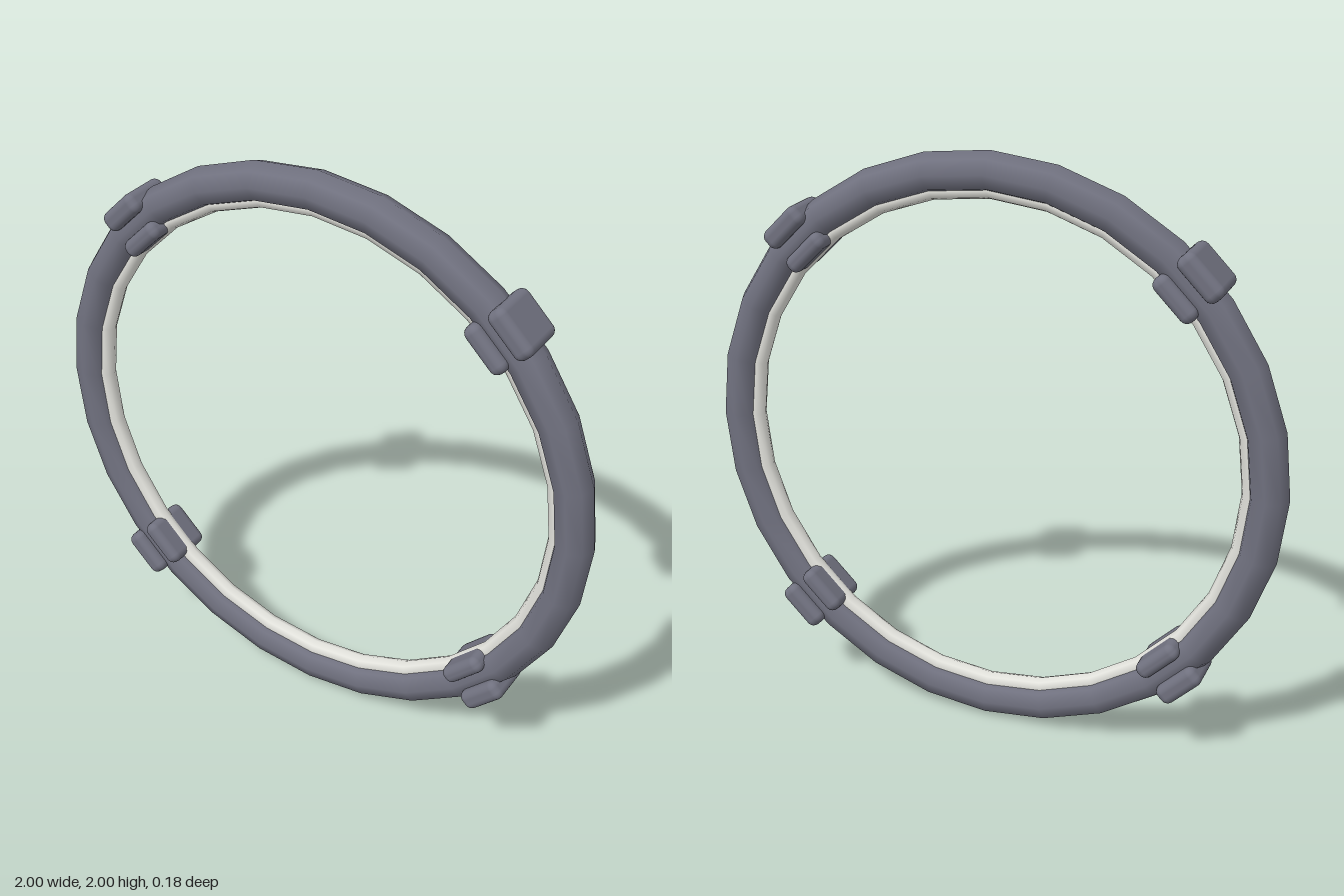
import * as THREE from 'three';
import { RoundedBoxGeometry } from 'three/addons/geometries/RoundedBoxGeometry.js';

export function createModel() {
  const model = new THREE.Group();
  model.name = 'ring';

  const greyMetal = new THREE.MeshStandardMaterial({ color: 0x70717f });
  greyMetal.name = 'grey metal';
  const paleLining = new THREE.MeshStandardMaterial({ color: 0xe2e2dc });
  paleLining.name = 'pale lining';

  const add = (parent, name, geometry, material) => {
    const mesh = new THREE.Mesh(geometry, material);
    mesh.name = name;
    parent.add(mesh);
    return mesh;
  };

  // Main hoop and the slim pale strip set into its inner side
  add(model, 'hoop', new THREE.TorusGeometry(0.933, 0.065, 8, 28), greyMetal).position.y = 1.002;
  add(model, 'innerStrip', new THREE.TorusGeometry(0.876, 0.03, 8, 28), paleLining).position.y = 1.002;

  // Four clamps on the diagonals, each an outer and an inner pad
  const outerPad = new RoundedBoxGeometry(0.07, 0.17, 0.176, 3, 0.026);
  const innerPad = new RoundedBoxGeometry(0.06, 0.17, 0.176, 3, 0.026);
  for (let i = 0; i < 4; i++) {
    const clamp = new THREE.Group();
    clamp.name = 'clamp' + (i + 1);
    clamp.position.y = 1.002;
    clamp.rotation.z = Math.PI / 4 + i * Math.PI / 2;
    add(clamp, 'outerPad', outerPad, greyMetal).position.x = 0.984;
    add(clamp, 'innerPad', innerPad, greyMetal).position.x = 0.877;
    model.add(clamp);
  }
  return model;
}
